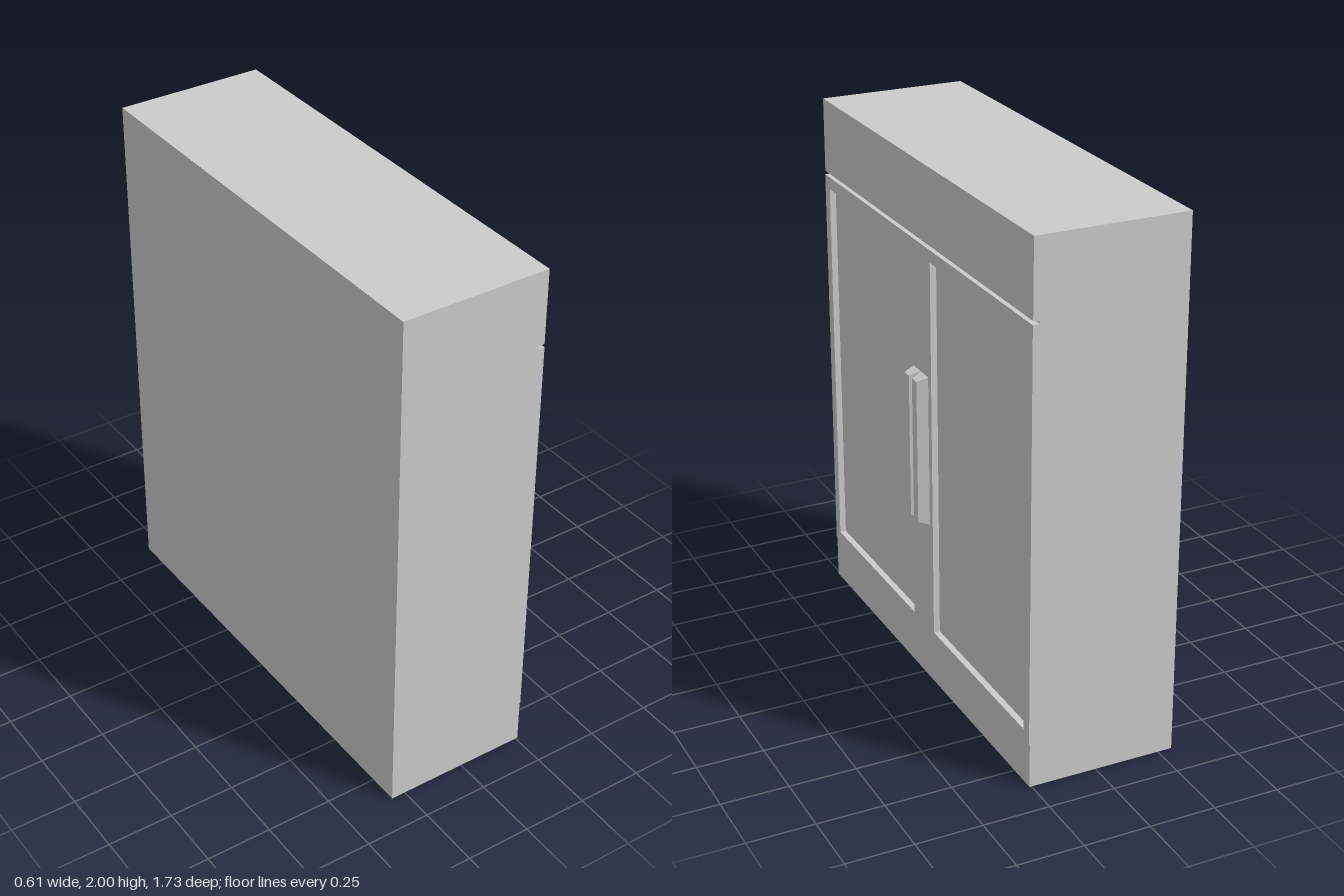
import * as THREE from 'three';

const DEPTH = 1.73;      // full extent along z
const INNER = 0.237;     // plane of the recessed door panels
const FACE = 0.261;      // front plane of the doors

export function createModel() {
  const group = new THREE.Group();
  const mat = new THREE.MeshStandardMaterial({ color: 0xcccccc, flatShading: true });
  const add = (name, geo) => {
    const mesh = new THREE.Mesh(geo, mat);
    mesh.name = name;
    group.add(mesh);
    return mesh;
  };

  // Cabinet body: side profile with plinth, door bay and a shadow gap, swept along z
  const profile = new THREE.Shape([
    [-0.305, 0], [0.258, 0], [0.258, 0.17], [INNER, 0.17], [INNER, 1.715],
    [0.26, 1.72], [0.26, 2], [-0.305, 2],
  ].map(([x, y]) => new THREE.Vector2(x, y)));
  const body = new THREE.ExtrudeGeometry(profile, { depth: DEPTH, bevelEnabled: false });
  body.translate(0, 0, -DEPTH / 2);
  add('cabinetBody', body);

  // Door frame: slab with two openings that leave the panels recessed
  const rect = (path, x0, y0, x1, y1) => path.moveTo(x0, y0).lineTo(x1, y0)
    .lineTo(x1, y1).lineTo(x0, y1).closePath();
  const frame = new THREE.Shape();
  rect(frame, -DEPTH / 2, 0.17, DEPTH / 2, 1.706);
  for (const s of [-1, 1]) {
    const hole = new THREE.Path();
    rect(hole, s * 0.087, 0.21, s * 0.823, 1.66);
    frame.holes.push(hole);
  }
  const frameGeo = new THREE.ExtrudeGeometry(frame, { depth: FACE - INNER, bevelEnabled: false });
  frameGeo.rotateY(Math.PI / 2).translate(INNER, 0, 0);
  add('doorFrame', frameGeo);

  // Handles: tall blocks tapering towards the front, one per door
  for (const s of [-1, 1]) {
    const geo = new THREE.BoxGeometry(0.042, 0.58, 0.06);
    const p = geo.attributes.position;
    for (let i = 0; i < p.count; i++) {
      if (p.getX(i) > 0) {
        p.setY(i, Math.sign(p.getY(i)) * 0.275);
        p.setZ(i, Math.sign(p.getZ(i)) * 0.019);
      }
    }
    geo.computeVertexNormals();
    add(s > 0 ? 'handleNear' : 'handleFar', geo).position.set(0.281, 0.935, s * 0.0325);
  }
  return group;
}
